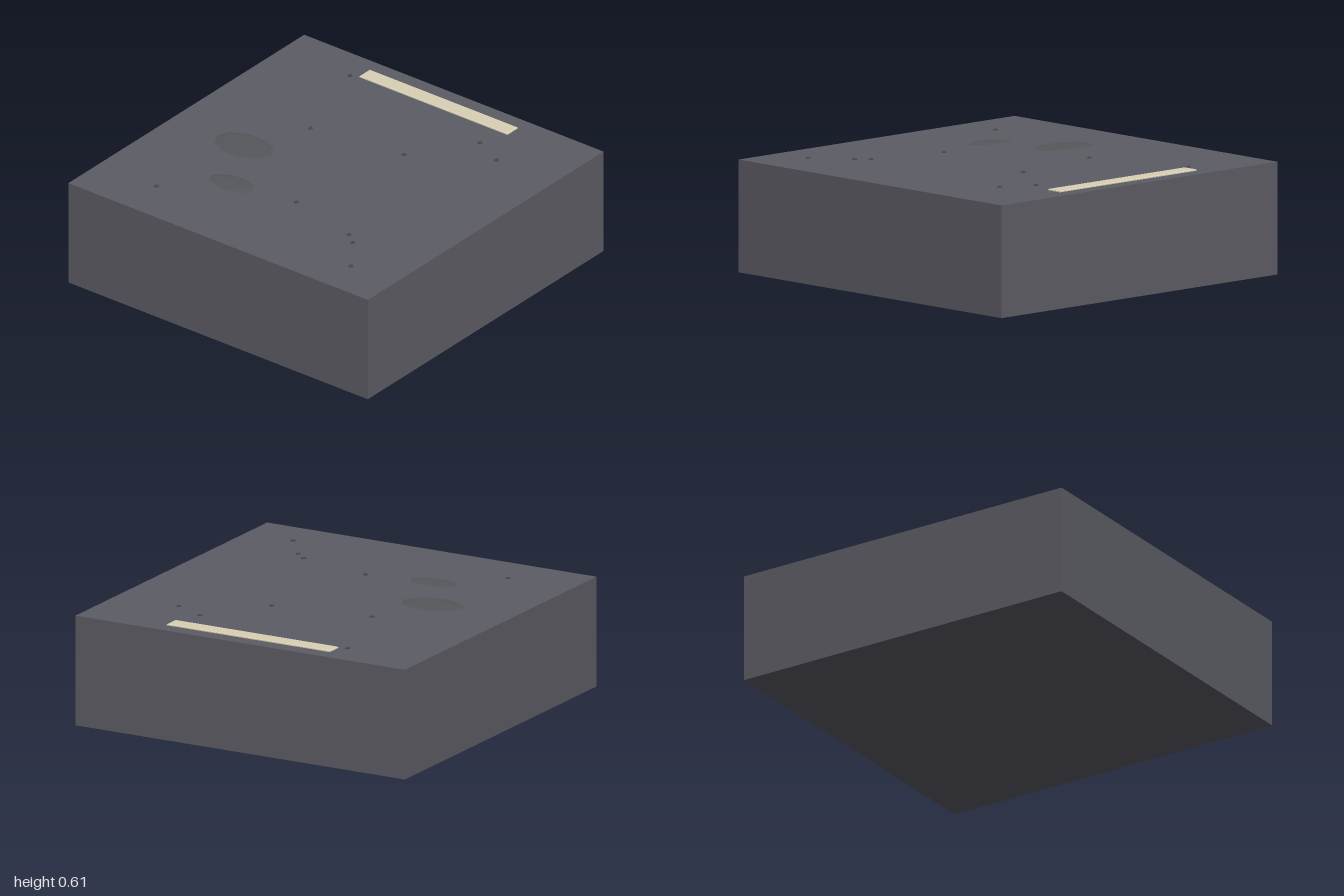
import * as THREE from 'three';

const TOP = 0.6;

function material(color) {
  return new THREE.MeshStandardMaterial({ color, flatShading: true });
}

function addMesh(parent, name, geometry, mat, x, y, z) {
  const mesh = new THREE.Mesh(geometry, mat);
  mesh.name = name;
  mesh.position.set(x, y, z);
  parent.add(mesh);
  return mesh;
}

export function createModel() {
  const group = new THREE.Group();
  group.name = 'roadTile';

  // Asphalt block
  addMesh(group, 'asphaltSlab', new THREE.BoxGeometry(2, TOP, 2), material(0x5c5c64), 0, TOP / 2, 0);

  // Painted line near the back edge, with a narrow chamfer round its top
  const w = 0.99, d = 0.09, bevel = 0.006;
  const outline = new THREE.Shape();
  outline.moveTo(-w / 2 + bevel, -d / 2 + bevel);
  outline.lineTo(w / 2 - bevel, -d / 2 + bevel);
  outline.lineTo(w / 2 - bevel, d / 2 - bevel);
  outline.lineTo(-w / 2 + bevel, d / 2 - bevel);
  outline.closePath();
  const stripe = new THREE.ExtrudeGeometry(outline, {
    depth: 0.006, bevelEnabled: true, bevelSize: bevel, bevelThickness: 0.004, bevelSegments: 1,
  });
  stripe.rotateX(-Math.PI / 2);
  addMesh(group, 'paintedLine', stripe, material(0xd8cfb4), 0, TOP - 0.001, -0.87);

  // Worn patches: very flat low-poly domes, [x, z, half width, half depth]
  const patchMaterial = material(0x56575b);
  const patches = [[-0.52, 0.12, 0.18, 0.12], [-0.32, 0.475, 0.14, 0.08]];
  for (const [x, z, rx, rz] of patches) {
    const dome = new THREE.SphereGeometry(1, 10, 6);
    addMesh(group, 'wornPatch', dome, patchMaterial, x, TOP, z).scale.set(rx, 0.006, rz);
  }

  // Loose gravel, [x, z]
  const pebbleMaterial = material(0x45454b);
  const pebbles = [
    [-0.54, -0.805], [0.435, -0.67], [0.615, -0.58], [0.2, -0.325], [-0.36, -0.24],
    [0.065, 0.42], [0.497, 0.52], [0.565, 0.575], [-0.615, 0.74], [0.71, 0.775],
  ];
  const pebble = new THREE.DodecahedronGeometry(0.015, 0);
  for (const [x, z] of pebbles) {
    addMesh(group, 'pebble', pebble, pebbleMaterial, x, TOP, z).scale.y = 0.65;
  }

  return group;
}
